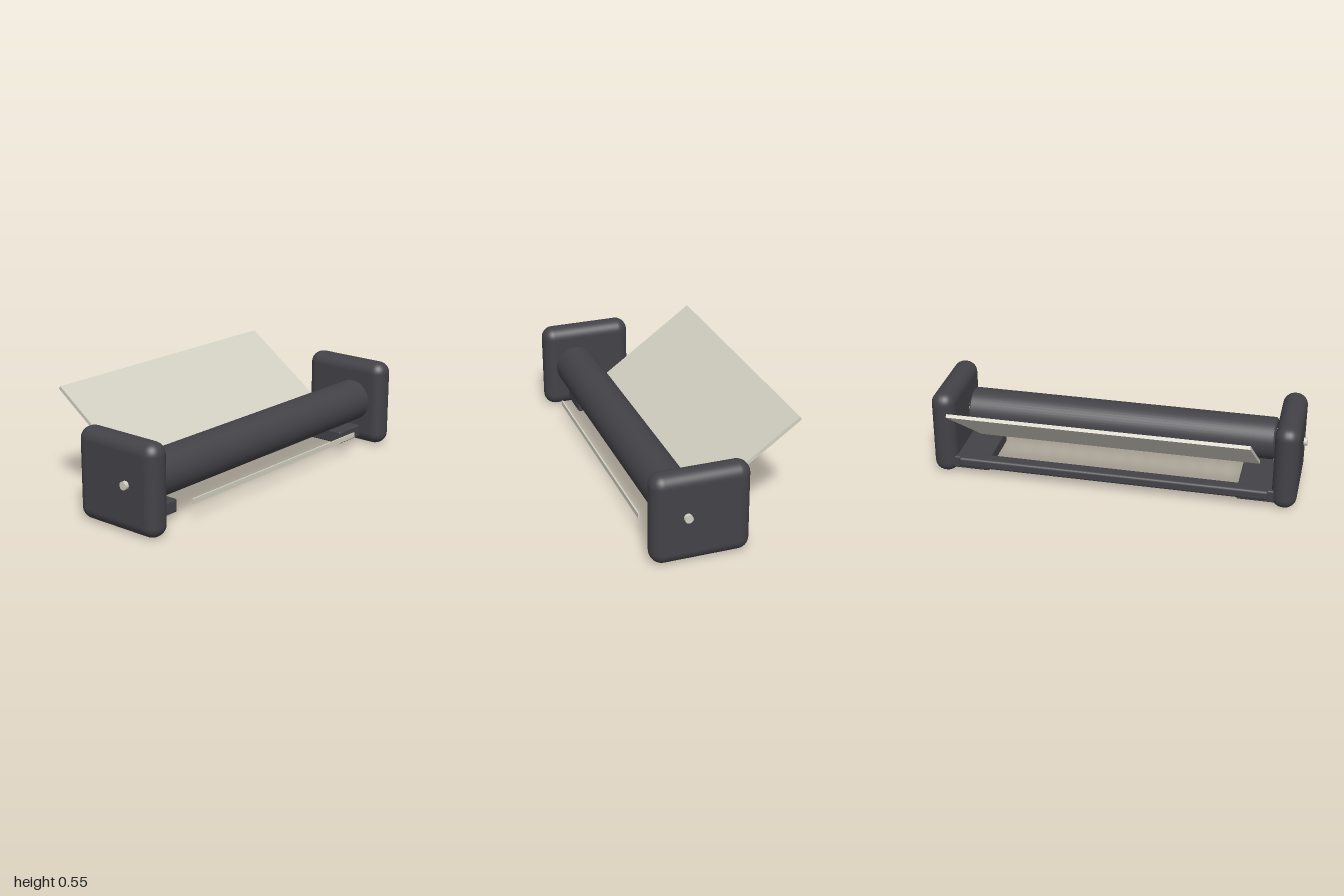
import * as THREE from 'three';
import { RoundedBoxGeometry } from 'three/addons/geometries/RoundedBoxGeometry.js';

export function createModel() {
  const model = new THREE.Group();
  model.name = 'rollerFeeder';

  const charcoal = new THREE.MeshStandardMaterial({ color: 0x434247 });
  charcoal.name = 'charcoal';
  const ivory = new THREE.MeshStandardMaterial({ color: 0xd2cfc2 });
  ivory.name = 'ivory';

  const add = (name, geometry, material, x, y, z) => {
    const mesh = new THREE.Mesh(geometry, material);
    mesh.name = name;
    mesh.position.set(x, y, z);
    model.add(mesh);
    return mesh;
  };
  // Box given by its limits, with softened edges
  const roundedBox = (name, material, [x0, x1], [y0, y1], [z0, z1], r, segments = 3) =>
    add(name, new RoundedBoxGeometry(x1 - x0, y1 - y0, z1 - z0, segments, r), material,
      (x0 + x1) / 2, (y0 + y1) / 2, (z0 + z1) / 2);

  const axisY = 0.248, axisZ = 0.247;

  // Roller with slightly bevelled ends, turned to lie along x
  const rollerProfile = [[0, -0.835], [0.105, -0.835], [0.113, -0.827],
    [0.113, 0.827], [0.105, 0.835], [0, 0.835]];
  // Repeated points keep the rims crisp
  const crisp = rollerProfile.flatMap(([r, h], i) =>
    i > 0 && i < 5 ? [new THREE.Vector2(r, h), new THREE.Vector2(r, h + 0.0001)] : [new THREE.Vector2(r, h)]);
  const roller = add('roller', new THREE.LatheGeometry(crisp, 48), charcoal, 0, axisY, axisZ);
  roller.rotation.z = Math.PI / 2;

  // Mirrored end housings, feet, hubs and axle pins
  for (const [side, s] of [['left', 1], ['right', -1]]) {
    const span = (a, b) => (s > 0 ? [a, b] : [-b, -a]);
    roundedBox(side + 'Housing', charcoal, span(0.85, 0.98), [0, 0.467], [-0.08, 0.417], 0.062, 6);
    roundedBox(side + 'Foot', charcoal, span(0.67, 0.87), [0.032, 0.1], [-0.055, 0.285], 0.008, 2);

    const hub = add(side + 'Hub', new THREE.CylinderGeometry(0.06, 0.06, 0.03, 32), ivory,
      s * 0.845, axisY, axisZ);
    hub.rotation.z = Math.PI / 2;
    const pin = add(side + 'AxlePin', new THREE.CylinderGeometry(0.021, 0.021, 0.06, 16), ivory,
      s * 0.97, axisY, axisZ);
    pin.rotation.z = Math.PI / 2;
  }

  // Rear cross bar and thin front strip
  roundedBox('rearBar', charcoal, [-0.835, 0.835], [0.05, 0.104], [-0.075, 0], 0.014);
  add('frontStrip', new THREE.BoxGeometry(1.33, 0.026, 0.008), ivory, 0, 0.108, 0.38);

  // Sloping paper tray, running down behind the roller
  const low = new THREE.Vector2(0.135, 0.157), high = new THREE.Vector2(-0.411, 0.546);
  const tray = add('paperTray', new THREE.BoxGeometry(1.53, 0.018, low.distanceTo(high)), ivory,
    0, (low.y + high.y) / 2, (low.x + high.x) / 2);
  tray.rotation.x = Math.atan2(high.y - low.y, low.x - high.x);

  return model;
}
